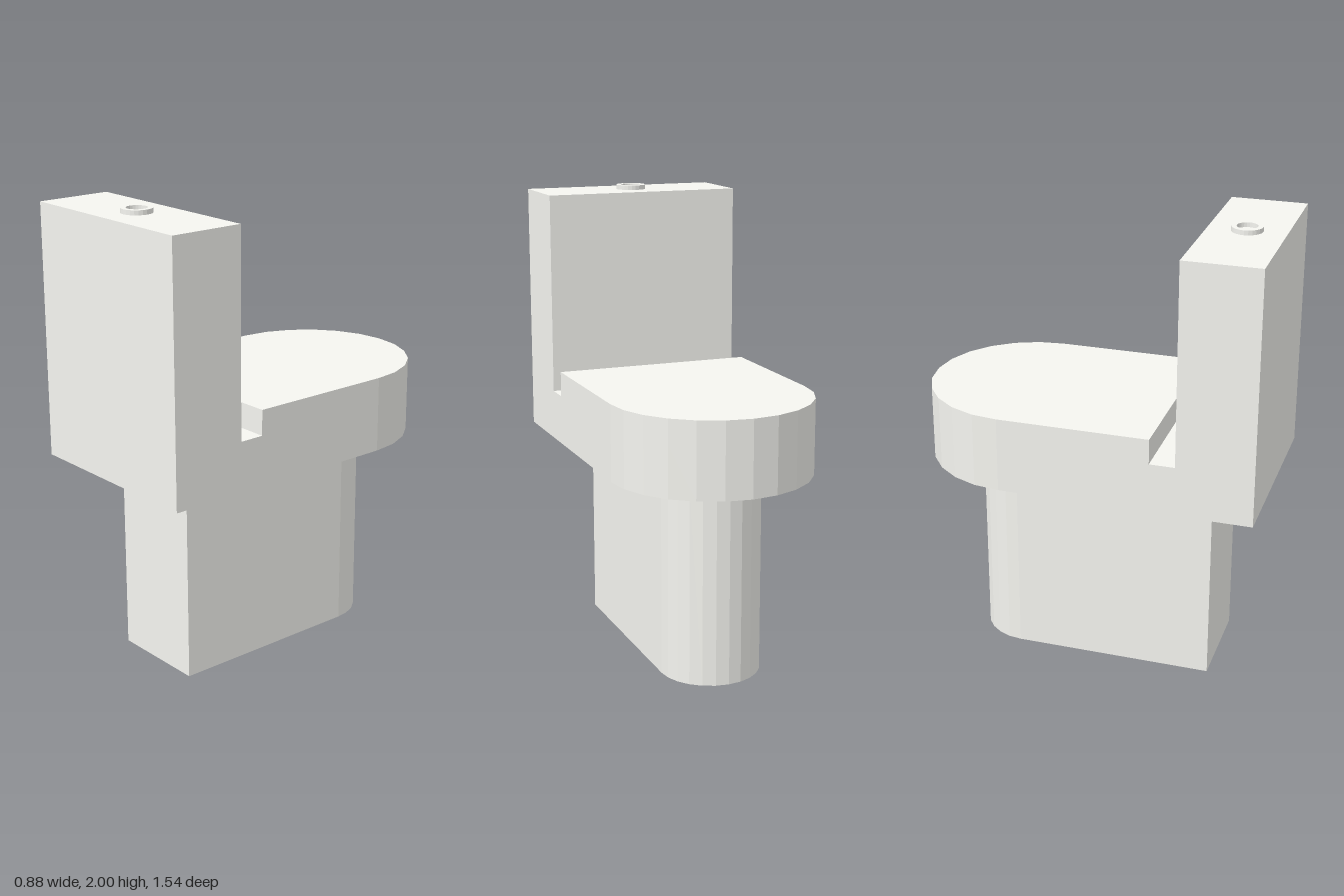
import * as THREE from 'three';

const material = new THREE.MeshStandardMaterial({ color: 0xf5f5f0, flatShading: true });

function addMesh(group, name, geometry) {
  const mesh = new THREE.Mesh(geometry, material);
  mesh.name = name;
  group.add(mesh);
  return mesh;
}

// Extrude a plan outline (shape y = -z) upwards from y0 to y1; each arc gets 2 * curveSegments sides
function extrudeUp(shape, y0, y1, curveSegments = 6) {
  return new THREE.ExtrudeGeometry(shape, { depth: y1 - y0, bevelEnabled: false, curveSegments })
    .rotateX(-Math.PI / 2)
    .translate(0, y0, 0);
}

// Plan outline: straight edge at z = straightZ, half-round end centred on z = roundZ
function roundEndedPlan(radius, straightZ, roundZ) {
  const shape = new THREE.Shape();
  shape.moveTo(-radius, -straightZ);
  shape.lineTo(radius, -straightZ);
  shape.lineTo(radius, -roundZ);
  shape.absarc(0, -roundZ, radius, 0, Math.PI, false);
  shape.closePath();
  return shape;
}

export function createModel() {
  const group = new THREE.Group();
  group.name = 'toilet';

  // Foot, bowl and closed lid share the same round-ended plan
  addMesh(group, 'pedestal', extrudeUp(roundEndedPlan(0.22, 0.55, -0.33), 0, 0.88));
  addMesh(group, 'bowl', extrudeUp(roundEndedPlan(0.44, 0.77, -0.33), 0.88, 1.1));
  addMesh(group, 'lid', extrudeUp(roundEndedPlan(0.44, 0.33, -0.33), 1.1, 1.21));

  // Cistern standing on the straight end of the bowl
  addMesh(group, 'tank', new THREE.BoxGeometry(0.88, 0.88, 0.33)).position.set(0, 1.54, 0.605);

  // Flush button: a low ring on top of the cistern
  const ring = new THREE.Shape().absarc(0, 0, 0.066, 0, Math.PI * 2, false);
  ring.holes.push(new THREE.Path().absarc(0, 0, 0.044, 0, Math.PI * 2, true));
  addMesh(group, 'flushButton', extrudeUp(ring, 1.98, 2, 12)).position.z = 0.605;

  return group;
}
